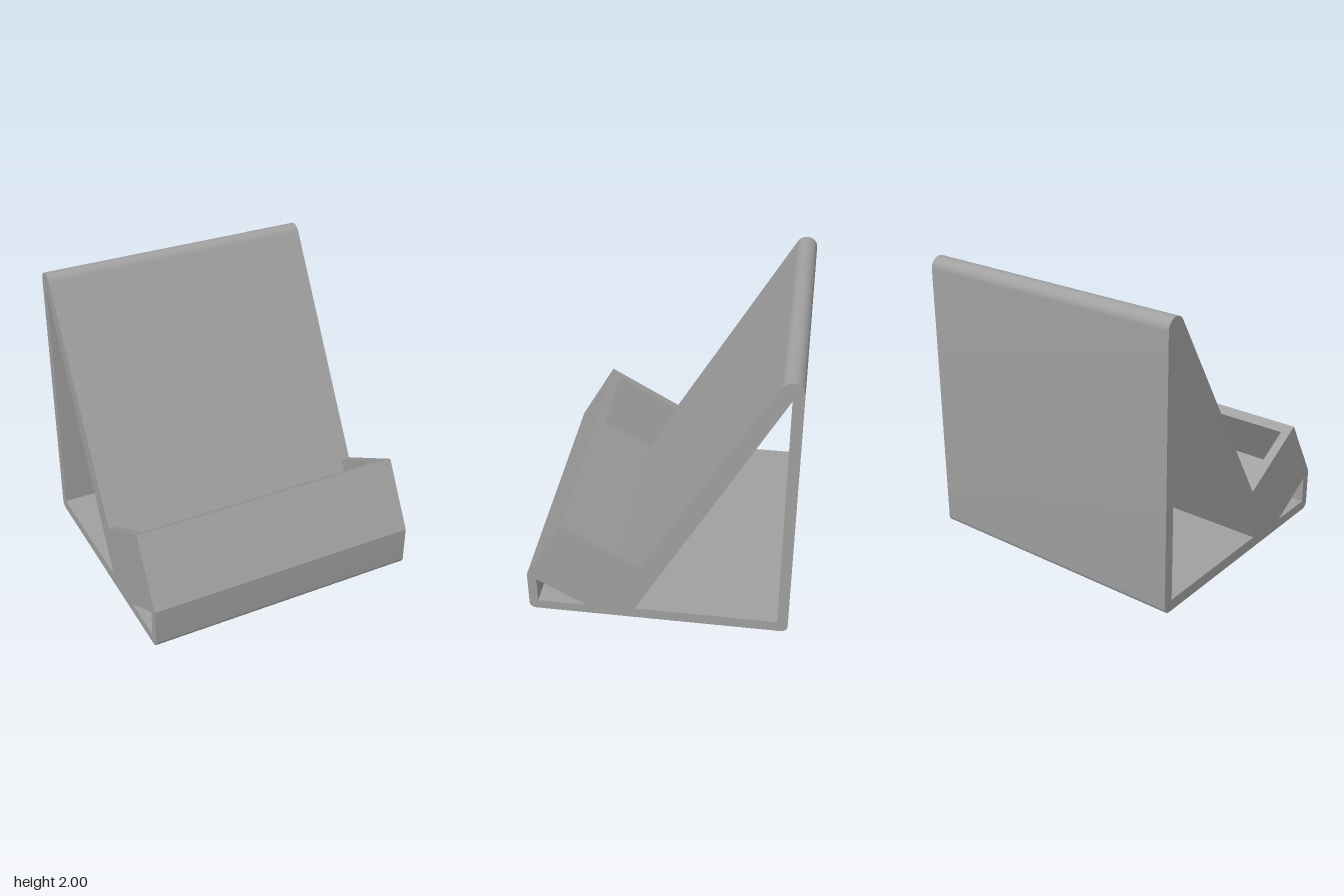
import * as THREE from 'three';
import { toCreasedNormals } from 'three/addons/utils/BufferGeometryUtils.js';

const HALF = 0.975;   // half width of the stand
const INNER = 0.91;   // half width of the tray pocket
const C = Math.cos(Math.PI / 6), S = 0.5;

// Tilted frame: s runs out from the backrest, t runs down along it
const LENGTH = 1.738, LIP_IN = 0.525, LIP_OUT = 0.6, DEPTH = 0.45;
const TOP = { z: -0.818, y: 1.925, r: 0.075 };
const HINGE = [TOP.z + TOP.r * C + LENGTH * S, TOP.y + TOP.r * S - LENGTH * C];
const tilted = (s, t) => [HINGE[0] + s * C + t * S, HINGE[1] + s * S - t * C];

// Sweeps a line of [z, y] points across the width; the visible side is on its right
function strip(points, half) {
  const pos = [], index = [];
  points.forEach(([z, y], i) => {
    pos.push(-half, y, z, half, y, z);
    if (i) {
      const a = 2 * i - 2;
      index.push(a, a + 1, a + 3, a, a + 3, a + 2);
    }
  });
  const g = new THREE.BufferGeometry();
  g.setAttribute('position', new THREE.Float32BufferAttribute(pos, 3));
  g.setIndex(index);
  return toCreasedNormals(g, 0.4);
}

// Flat panel of [z, y] points at x, looking towards +x (1) or -x (-1)
function panel(points, holes, x, facing) {
  const flat = (list) => list.map(([z, y]) => new THREE.Vector2(-facing * z, y));
  const shape = new THREE.Shape(flat(points));
  shape.holes = holes.map((h) => new THREE.Path(flat(h)));
  return new THREE.ShapeGeometry(shape).rotateY(facing * Math.PI / 2).translate(x, 0, 0);
}

// Flat sheet drawn in x and along the slope, turned about x and set at a [z, y] point
function sheet(points, angle, [z, y]) {
  const shape = new THREE.Shape(points.map(([u, v]) => new THREE.Vector2(u, v)));
  return new THREE.ShapeGeometry(shape).rotateX(angle).translate(0, y, z);
}

export function createModel() {
  const group = new THREE.Group();
  const grey = new THREE.MeshStandardMaterial({ color: 0xa0a0a0 });
  grey.name = 'grey';
  const add = (name, geometry) => {
    const mesh = new THREE.Mesh(geometry, grey);
    mesh.name = name;
    group.add(mesh);
  };

  // Outer outline from the top of the backrest, round the back and base, to the lip
  const path = new THREE.Path();
  const r = 0.045, edge = 0.893;
  path.absarc(TOP.z, TOP.y, TOP.r, Math.PI / 6, Math.PI, false);
  path.absarc(-edge + r, r, r, Math.PI, Math.PI * 1.5, false);
  path.absarc(edge - r, r, r, Math.PI * 1.5, Math.PI * 2, false);
  path.lineTo(edge, 0.305);
  path.lineTo(...tilted(LIP_OUT, 0));
  const outline = path.getPoints(12).map((p) => [p.x, p.y]);
  add('outerShell', strip(outline, HALF));

  // Sloping backrest, narrower where it drops into the pocket
  add('backrest', sheet([
    [-HALF, LENGTH], [-HALF, 0], [-INNER, 0], [-INNER, -DEPTH],
    [INNER, -DEPTH], [INNER, 0], [HALF, 0], [HALF, LENGTH],
  ], -Math.PI / 6, HINGE));

  // U-shaped rim on top of the lip and tray sides
  const bar = LIP_OUT - LIP_IN;
  add('trayRim', sheet([
    [-HALF, 0], [HALF, 0], [HALF, LIP_OUT], [INNER, LIP_OUT],
    [INNER, bar], [-INNER, bar], [-INNER, LIP_OUT], [-HALF, LIP_OUT],
  ], -Math.PI * 2 / 3, tilted(LIP_OUT, 0)));

  // Inside of the lip and the tray floor
  const pocket = [tilted(LIP_IN, 0), tilted(LIP_IN, DEPTH), tilted(0, DEPTH), HINGE];
  add('trayPocket', strip(pocket.slice(0, 3), INNER));

  // Triangular tunnels running through the full width, listed clockwise
  const tunnels = {
    rearTunnel: [[0.155, 0.08], [-0.82, 0.08], [-0.82, 1.875]],
    frontTunnel: [[0.83, 0.265], [0.83, 0.07], [0.495, 0.07]],
  };
  for (const [name, t] of Object.entries(tunnels)) add(name, strip([...t, t[0]], HALF));

  // Side faces and the inner walls of the tray
  for (const [side, f] of [['left', 1], ['right', -1]]) {
    add(side + 'Side', panel([...outline, HINGE], Object.values(tunnels), f * HALF, f));
    add(side + 'TrayWall', panel(pocket, [], f * INNER, -f));
  }
  return group;
}
